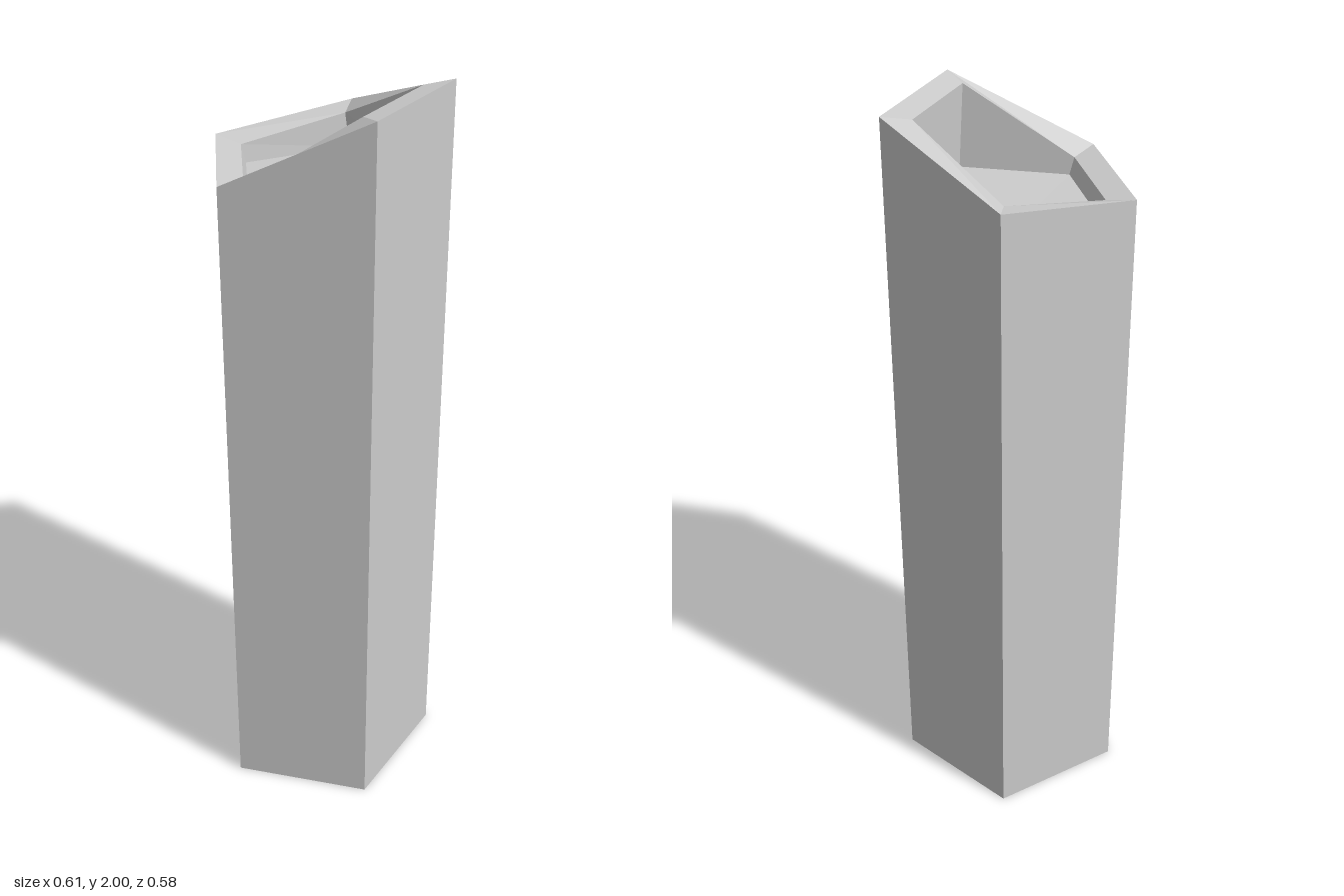
import * as THREE from 'three';

const SIDES = 5;
const CENTER_Z = 0.03;
// top heights of the corners: back, left (+x) side, front left, front right, right side
const TOP = [1.862, 2, 2, 1.815, 1.815];
const FLOOR = [1.76, 1.767, 1.767, 1.755, 1.755];

// five-sided ring of corners, starting at the back
function ring(radius, heights, shiftX = 0) {
  return heights.map((y, i) => {
    const a = (i / SIDES) * Math.PI * 2;
    return new THREE.Vector3(Math.sin(a) * radius + shiftX, y, CENTER_Z - Math.cos(a) * radius);
  });
}

function meshFrom(name, corners) {
  const geometry = new THREE.BufferGeometry().setFromPoints(corners);
  geometry.computeVertexNormals();
  const material = new THREE.MeshStandardMaterial({ color: 0xcccccc, flatShading: true });
  const mesh = new THREE.Mesh(geometry, material);
  mesh.name = name;
  return mesh;
}

// band of quads joining two rings
function band(name, a, b) {
  const corners = [];
  for (let i = 0; i < SIDES; i++) {
    const j = (i + 1) % SIDES;
    corners.push(a[i], b[i], b[j], a[i], b[j], a[j]);
  }
  return meshFrom(name, corners);
}

// flat cap over one ring
function cap(name, r, facingUp) {
  const corners = [];
  for (let i = 1; i < SIDES - 1; i++) {
    corners.push(r[0], ...(facingUp ? [r[i + 1], r[i]] : [r[i], r[i + 1]]));
  }
  return meshFrom(name, corners);
}

export function createModel() {
  const group = new THREE.Group();
  group.name = 'pentagonalColumn';

  const base = ring(0.32, TOP.map(() => 0));
  const outerRim = ring(0.32, TOP);
  const innerRim = ring(0.242, TOP.map((y) => y - 0.013));
  const floor = ring(0.242, FLOOR, 0.012);

  group.add(
    cap('columnBase', base, false),
    band('columnSides', base, outerRim),
    band('slantedRim', outerRim, innerRim),
    band('recessWalls', innerRim, floor),
    cap('recessFloor', floor, true),
  );
  return group;
}
